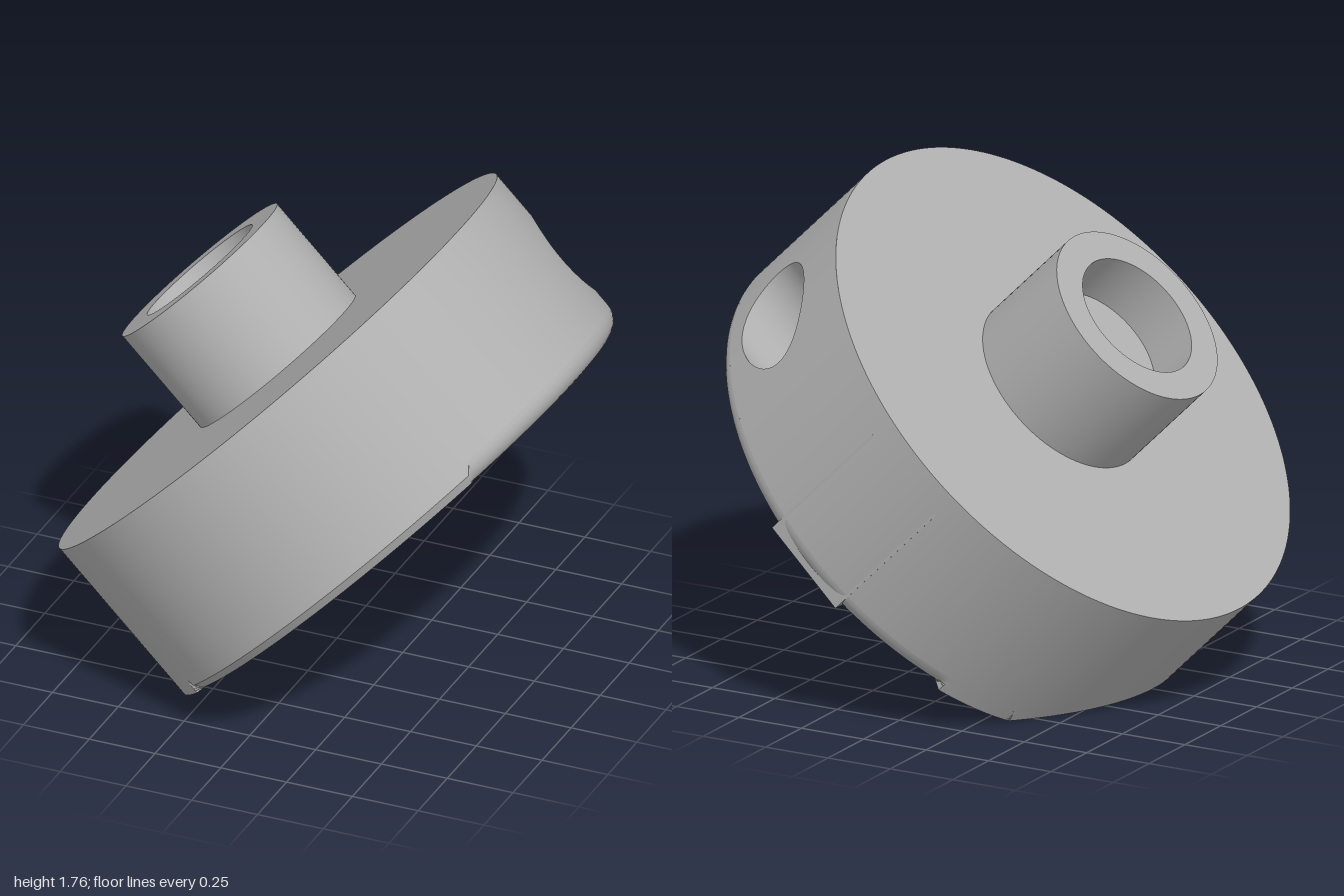
import * as THREE from 'three';
import { toCreasedNormals } from 'three/addons/utils/BufferGeometryUtils.js';

const BASE = -0.67, FLOOR = -0.05, SHELF = -0.26, FILLET = 0.07;
const CUT = -1.492;              // flat foot: x + y >= CUT in the disc's own frame
const BORE = { y: -0.357, z: -0.61, r: 0.175, end: 0.5 };
const rad = THREE.MathUtils.degToRad;
const range = (n, f) => Array.from({ length: n + 1 }, (_, i) => f(i / n));

// Surface through rows of points
function loft(rows) {
  const w = rows[0].length, pos = rows.flat(2), idx = [];
  for (let r = 0; r < rows.length - 1; r++)
    for (let c = 0; c < w - 1; c++) {
      const a = r * w + c, b = a + w;
      idx.push(a, a + 1, b, a + 1, b + 1, b);
    }
  const g = new THREE.BufferGeometry();
  g.setAttribute('position', new THREE.Float32BufferAttribute(pos, 3));
  g.setIndex(idx);
  return toCreasedNormals(g, 0.5);
}

// Vertical wall along an outline of [x, z] points
const wall = (pts, y0, y1) => loft([y1, y0].map(y => pts.map(([x, z]) => [x, y, z])));

// Downward facing plate at height y
function plate(pts, y, hole) {
  const v = p => p.map(([x, z]) => new THREE.Vector2(x, z));
  const s = new THREE.Shape(v(pts));
  if (hole) s.holes.push(new THREE.Path(v(hole)));
  return new THREE.ShapeGeometry(s).rotateX(Math.PI / 2).translate(0, y, 0);
}

// One vertical profile of the disc's side: plain band, then rim edge or flat foot
function column(deg) {
  const c = Math.cos(rad(deg)), s = Math.sin(rad(deg));
  const sharp = c < -0.6, slim = !sharp && s > 0.625;
  const f = sharp ? 0 : slim ? 0.03 : FILLET;
  const yb = c < CUT - BASE ? CUT - c : BASE + FILLET;
  const col = [[c, 0, s], [c, yb, s]];
  range(8, t => {
    const a = t * Math.PI / 2;
    let r = 1 - f * (1 - Math.cos(a));
    let y = BASE + f * (1 - Math.sin(a));
    if (sharp) { r = 1; y = yb + (BASE - yb) * t; }
    if (slim) { r = 1 - f * t; y = BASE + 0.03 * (1 - t); }
    col.push([Math.max(r * c, CUT - y), y, r * s]);
  });
  return col;
}

export function createModel() {
  const grey = new THREE.MeshStandardMaterial({ color: 0xb0b0b0, side: THREE.DoubleSide });
  grey.name = 'grey';
  const model = new THREE.Group();
  const disc = new THREE.Group();
  disc.name = 'tiltedDisc';
  disc.rotation.z = Math.PI / 4;
  disc.position.set(-0.225, 1.055, 0);
  model.add(disc);
  const add = (name, geo, parent = disc) => {
    const m = new THREE.Mesh(geo, grey);
    m.name = name;
    parent.add(m);
    return m;
  };

  // Disc side, leaving a window for the screw bore
  const A0 = -57, A1 = -21;
  const cols = range(240, t => column(A0 + 360 * t));
  const open = cols.filter((_, i) => i >= 24);
  const rows = (list, a, b) => range(b - a, t => list.map(c => c[a + Math.round(t * (b - a))]));
  add('sideBand', loft(rows(open, 0, 1)));
  add('rimEdge', loft(rows(cols, 1, 10)));

  // Patch between the window's border and the bore's mouth
  const tm = rad((A0 + A1) / 2), th = rad((A1 - A0) / 2), ym = (BASE + FILLET) / 2;
  const mouth = range(96, t => {
    const a = t * Math.PI * 2;
    const z = BORE.z + BORE.r * Math.cos(a);
    return [Math.asin(z), BORE.y + BORE.r * Math.sin(a), z];
  });
  const patch = range(8, k => mouth.map(([ang, y], i) => {
    const a = i / 96 * Math.PI * 2, m = Math.max(Math.abs(Math.cos(a)), Math.abs(Math.sin(a)));
    const T = THREE.MathUtils.lerp(ang, tm + th * Math.cos(a) / m, k);
    return [Math.cos(T), THREE.MathUtils.lerp(y, ym - ym * Math.sin(a) / m, k), Math.sin(T)];
  }));
  add('boreSurround', loft(patch));
  add('boreWall', loft([
    mouth.map(([a, y, z]) => [Math.cos(a), y, z]),
    mouth.map(([, y, z]) => [BORE.end, y, z]),
  ]));
  add('boreFloor', new THREE.CircleGeometry(BORE.r, 48).rotateY(Math.PI / 2)
    .translate(BORE.end, BORE.y, BORE.z));

  // Top face and hollow boss
  add('topFace', new THREE.CircleGeometry(1, 240).rotateX(-Math.PI / 2));
  const boss = [[0, 0.21], [0.24, 0.21], [0.24, 0.42], [0.354, 0.42], [0.354, 0]];
  add('boss', toCreasedNormals(
    new THREE.LatheGeometry(boss.map(p => new THREE.Vector2(...p)), 96), 0.5));

  // Pocket outlines: slot with a round far end, plus a side scoop
  const H = 0.38, R = 0.86, C = 0.1, E = -0.83;
  const arc = (cx, cz, r, a0, a1, n) => range(n, t => {
    const a = a0 + (a1 - a0) * t;
    return [cx + r * Math.cos(a), cz + r * Math.sin(a)];
  });
  const a1 = Math.acos(H / R);
  const nearEnd = [
    ...arc(-H + C, E + C, C, Math.PI, Math.PI * 1.5, 8),
    ...arc(H - C, E + C, C, Math.PI * 1.5, Math.PI * 2, 8),
  ];
  const scoop = range(32, t => {
    const a = 0.36 + (-1.25 - 0.36) * t;
    return [-0.26 - 0.38 * Math.cos(a), 0.47 + 0.38 * Math.sin(a)];
  });
  const scoopAngle = Math.atan2(scoop[0][1], scoop[0][0]);
  const slot = [...nearEnd, ...arc(0, 0, R, a1, Math.PI - a1, 40)];
  const mouthLine = [...nearEnd, ...arc(0, 0, R, a1, scoopAngle, 48), ...scoop];
  const endRim = arc(0, 0, R, Math.PI - a1, scoopAngle, 12);

  add('pocketFloor', plate(slot, FLOOR));
  add('pocketUpperWall', wall([...slot, slot[0]], FLOOR, SHELF));
  add('pocketLowerWall', wall([...mouthLine, mouthLine[0]], SHELF, BASE));
  add('scoopFloor', plate([...endRim, ...scoop], SHELF));
  add('bottomFace', plate(cols.slice(0, -1).map(c => c[10]).map(p => [p[0], p[2]]), BASE, mouthLine));

  // Pair of screw lugs facing each other across the slot
  const Z0 = 0.39, Z1 = 0.8, bottom = -0.585;
  for (const side of [1, -1]) {
    const lug = new THREE.Group();
    lug.name = side > 0 ? 'lowerLug' : 'upperLug';
    lug.scale.x = side;
    disc.add(lug);
    const face = new THREE.Shape([[Z0, bottom], [Z1, bottom], [Z1, FLOOR], [Z0, FLOOR]]
      .map(p => new THREE.Vector2(...p)));
    face.holes.push(new THREE.Path().absarc(-BORE.z, BORE.y, 0.085, 0, Math.PI * 2, true));
    add('lugFace', new THREE.ExtrudeGeometry(face, { depth: 0.09, bevelEnabled: false, curveSegments: 24 })
      .rotateY(Math.PI / 2).translate(-0.297, 0, 0), lug);
    const r = 0.07;
    const back = [[-0.297, -Z0], [-0.297, -Z1],
      ...arc(-H + r, -Z1 + r, r, Math.PI * 1.5, Math.PI, 8),
      ...arc(-H + r, -Z0 - r, r, Math.PI, Math.PI / 2, 8)];
    add('lugBackWall', wall([...back, back[0]], FLOOR, bottom), lug);
    add('lugBackBase', plate(back, bottom), lug);
    add('screwSeat', new THREE.RingGeometry(0.062, 0.085, 32).rotateY(Math.PI / 2)
      .translate(-0.23, BORE.y, BORE.z), lug);
  }

  // Tongue that fills the rim behind the lugs
  add('tongue', new THREE.BoxGeometry(0.36, 0.57, 0.185).translate(0, BASE + 0.284, -0.8925));
  return model;
}
